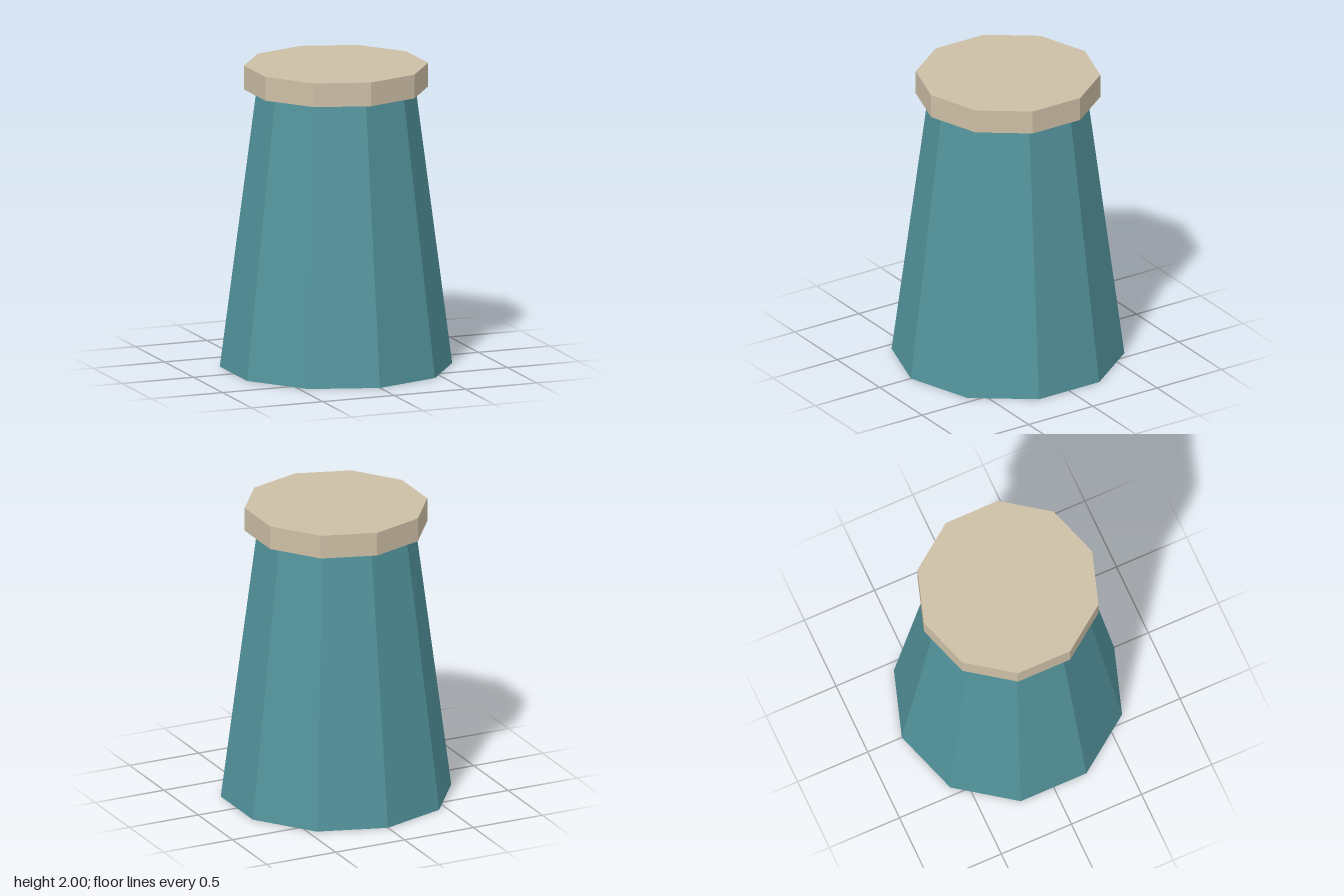
import * as THREE from 'three';

const SIDES = 10;

export function createModel() {
  const group = new THREE.Group();
  const teal = new THREE.MeshStandardMaterial({ color: 0x52939b, flatShading: true });
  teal.name = 'teal';
  const beige = new THREE.MeshStandardMaterial({ color: 0xcdbfa6, flatShading: true });
  beige.name = 'beige';

  // Ten-sided prism standing between two heights
  function addPrism(name, topRadius, bottomRadius, y0, y1, material) {
    const geometry = new THREE.CylinderGeometry(topRadius, bottomRadius, y1 - y0, SIDES);
    const mesh = new THREE.Mesh(geometry, material);
    mesh.name = name;
    mesh.position.y = (y0 + y1) / 2;
    group.add(mesh);
  }

  // Tapered body
  addPrism('body', 0.518, 0.757, 0, 1.842, teal);
  // Overhanging flat cap
  addPrism('cap', 0.6, 0.6, 1.842, 2, beige);

  return group;
}
